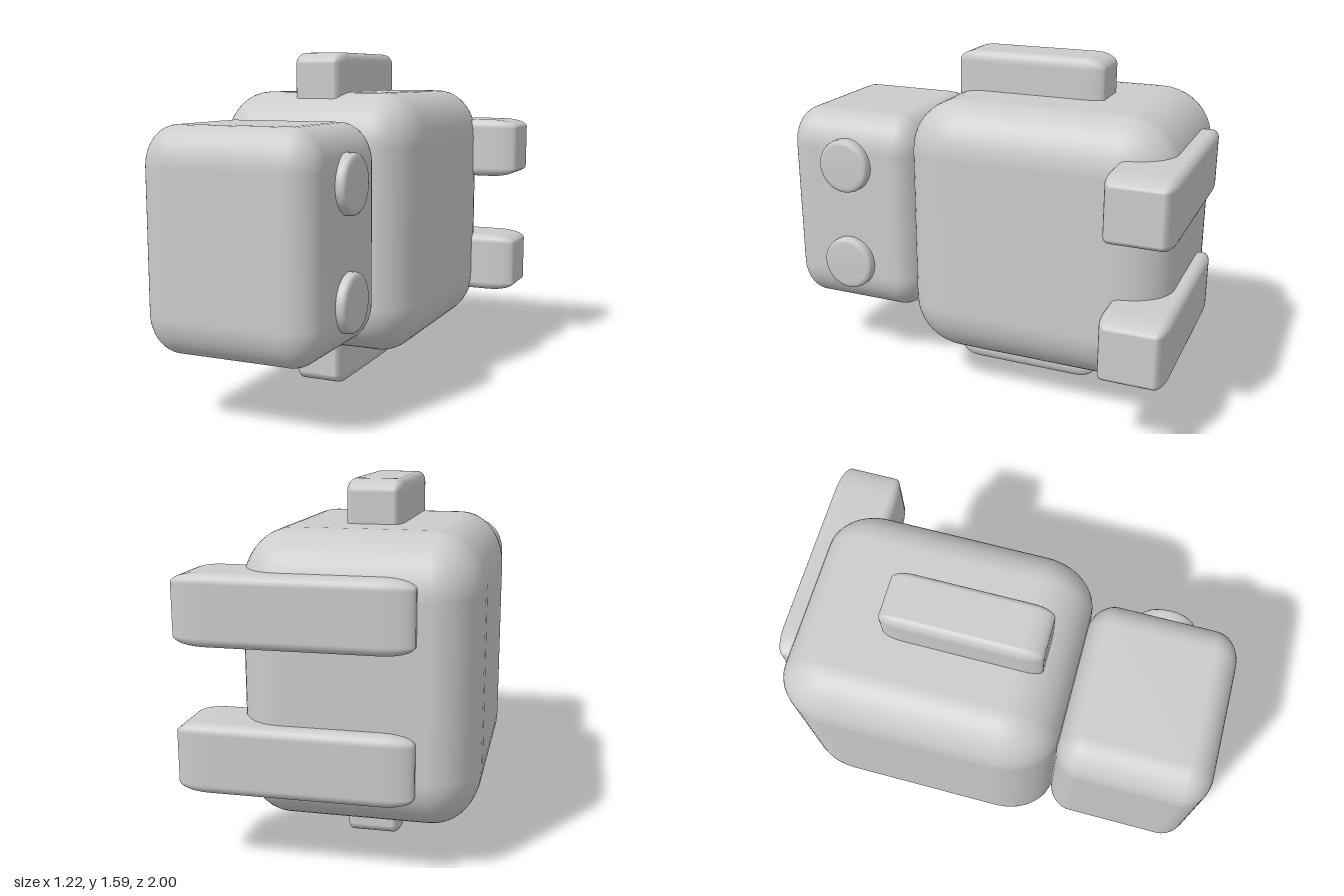
import * as THREE from 'three';
import { RoundedBoxGeometry } from 'three/addons/geometries/RoundedBoxGeometry.js';

const material = new THREE.MeshStandardMaterial({ color: 0xcccccc });

// A rounded unit cube stretched to the given bounds, so its rounding stretches too
function softBox(name, min, max, rounding) {
  const size = max.map((v, i) => v - min[i]);
  const geometry = new RoundedBoxGeometry(1, 1, 1, 6, rounding);
  geometry.scale(...size);
  const mesh = new THREE.Mesh(geometry, material);
  mesh.position.set(...min.map((v, i) => (v + max[i]) / 2));
  mesh.name = name;
  return mesh;
}

export function createModel() {
  const model = new THREE.Group();
  model.name = 'lyingBlockFigure';
  const middle = 0.797;

  // Body and head
  model.add(softBox('body', [-0.612, 0.187, -0.937], [0.389, 1.408, 0.314], 0.2));
  model.add(softBox('head', [-0.553, 0.31, 0.305], [0.267, 1.286, 0.998], 0.18));

  // Soft-edged disc for the eyes
  const rim = [[0, -0.04], [0.12, -0.04], [0.13, -0.03], [0.13, 0.012], [0.127, 0.023], [0.119, 0.03], [0.105, 0.033], [0, 0.035]];
  const eyeGeometry = new THREE.LatheGeometry(rim.map(([r, h]) => new THREE.Vector2(r, h)), 40);
  eyeGeometry.rotateZ(-Math.PI / 2);

  // Mirrored pairs of arms, legs and eyes
  for (const side of [1, -1]) {
    const label = side > 0 ? 'upper' : 'lower';
    const span = (a, b) => [middle + side * a, middle + side * b].sort((p, q) => p - q);

    const [a0, a1] = span(0.42, 0.795);
    model.add(softBox(label + 'Arm', [-0.235, a0, -0.525], [0.012, a1, 0.182], 0.14));

    const [l0, l1] = span(0.158, 0.458);
    model.add(softBox(label + 'Leg', [-0.37, l0, -1], [0.612, l1, -0.698], 0.14));

    const eye = new THREE.Mesh(eyeGeometry, material);
    eye.name = label + 'Eye';
    eye.position.set(0.278, middle + side * 0.248, 0.658);
    model.add(eye);
  }
  return model;
}
